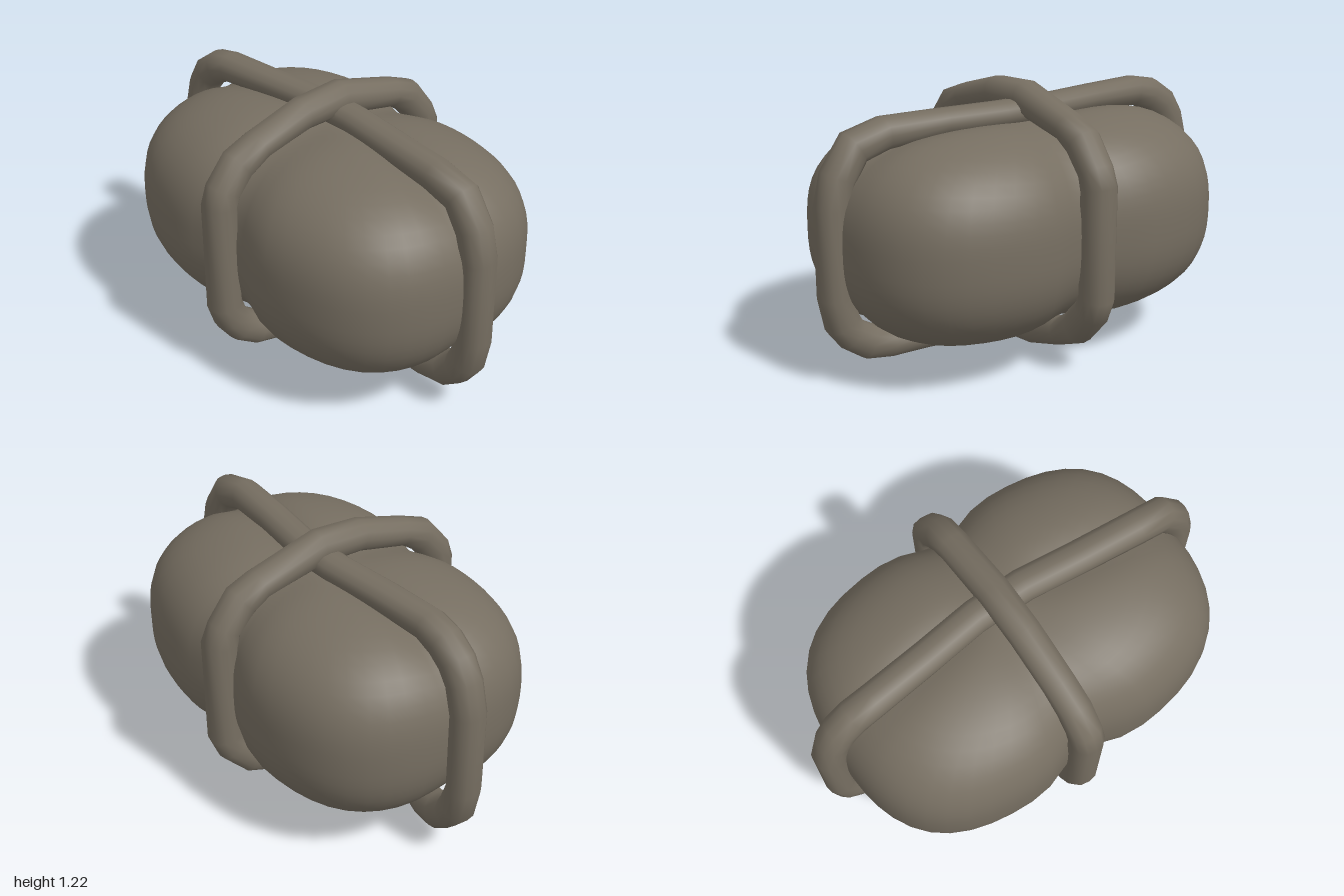
import * as THREE from 'three';
import { mergeVertices } from 'three/addons/utils/BufferGeometryUtils.js';

const bundleBrown = new THREE.MeshStandardMaterial({ color: 0x766e61 });
bundleBrown.name = 'bundleBrown';

const bump = (d, width) => Math.exp(-((d / width) ** 2));

// Sideways drift of the lengthwise rope: one bend on top, an S underneath.
const sway = (z, top) => top
  ? 0.06 * (1 - THREE.MathUtils.smoothstep(Math.abs(z), 0.05, 0.68))
  : 0.08 * (bump(z - 0.08, 0.27) - bump(z + 0.5, 0.17));

// Rounded block, squeezed where the two ropes press into it.
function bodyGeometry() {
  let geo = new THREE.SphereGeometry(1, 56, 36);
  geo.deleteAttribute('uv');
  geo.deleteAttribute('normal');
  geo = mergeVertices(geo, 1e-4);
  const p = geo.attributes.position;
  const v = new THREE.Vector3();
  const n = 2.62, blunt = 3.7;
  for (let i = 0; i < p.count; i++) {
    v.fromBufferAttribute(p, i);
    v.multiplyScalar((Math.abs(v.x) ** n + Math.abs(v.y) ** n + Math.abs(v.z) ** n) ** (-1 / n));
    // Blunter ends than the cross-section.
    const e = Math.min(Math.abs(v.z), 0.9999);
    const swell = ((1 - e ** blunt) / (1 - e ** n)) ** (1 / n);
    const z = v.z * (v.z > 0 ? 0.912 : 0.905);
    let x = v.x * swell * 0.626;
    let y = v.y * swell * 0.478;
    const waist = bump(z, 0.16);
    const groove = bump(x - sway(z, y > 0), 0.1);
    x *= 1 - 0.12 * waist;
    y *= 1 - 0.07 * waist - 0.08 * groove * (1 - waist);
    p.setXYZ(i, x, y + 0.613, z + 0.013);
  }
  geo.computeVertexNormals();
  return geo;
}

// Closed rope swept along a clockwise planar outline [u, v]; place(u, v, s) maps
// it into space, s being the distance across the rope. It thickens in the bends.
function ropeGeometry(outline, place, flip) {
  const sides = 12, half = 0.074;
  const pos = [], index = [], count = outline.length;
  outline.forEach(([u, v], i) => {
    const a = outline[(i + count - 1) % count], b = outline[(i + 1) % count];
    const t1 = new THREE.Vector2(u - a[0], v - a[1]).normalize();
    const t2 = new THREE.Vector2(b[0] - u, b[1] - v).normalize();
    const depth = 0.058 + 0.019 * Math.min(1, t1.angleTo(t2) / 0.4);
    const t = t1.add(t2).normalize();
    for (let j = 0; j < sides; j++) {
      const w = (j / sides) * Math.PI * 2;
      const c = Math.cos(w), s = Math.sin(w);
      const r = (Math.abs(c) ** 2.5 + Math.abs(s) ** 2.5) ** (-1 / 2.5);
      const out = depth * (c * r - 1);
      pos.push(...place(u - t.y * out, v + t.x * out, half * s * r));
      const i2 = (i + 1) % count, j2 = (j + 1) % sides;
      const q = [i * sides + j, i2 * sides + j, i2 * sides + j2, i * sides + j2];
      if (flip) q.reverse();
      index.push(q[0], q[1], q[2], q[0], q[2], q[3]);
    }
  });
  const geo = new THREE.BufferGeometry();
  geo.setAttribute('position', new THREE.Float32BufferAttribute(pos, 3));
  geo.setIndex(index);
  geo.computeVertexNormals();
  return geo;
}

export function createModel() {
  const group = new THREE.Group();
  group.name = 'tiedBundle';
  const add = (name, geo) => {
    const mesh = new THREE.Mesh(geo, bundleBrown);
    mesh.name = name;
    group.add(mesh);
  };

  add('bundleBody', bodyGeometry());

  // Rope around the waist, in the x-y plane.
  const waist = [
    [-0.15, 1.205], [0.08, 1.222], [0.4, 1.135], [0.52, 1.09], [0.62, 0.96], [0.66, 0.87],
    [0.655, 0.36], [0.615, 0.26], [0.5, 0.135], [0.37, 0.085], [0.16, 0.023], [-0.07, 0.003],
    [-0.45, 0.09], [-0.56, 0.16], [-0.625, 0.245], [-0.66, 0.35], [-0.665, 0.87],
    [-0.635, 0.96], [-0.535, 1.08], [-0.4, 1.13],
  ];
  add('waistRope', ropeGeometry(waist, (u, v, s) => [u, v, s - 0.007], true));

  // Rope along the length, in the z-y plane, bending aside where the ropes cross.
  const long = [
    [-0.68, 1.145], [-0.4, 1.145], [-0.12, 1.145], [0.12, 1.145], [0.4, 1.145], [0.68, 1.145],
    [0.86, 1.1], [0.965, 0.95], [1, 0.8], [1, 0.4], [0.97, 0.25], [0.91, 0.17], [0.81, 0.1],
    [0.68, 0.08], [0.5, 0.08], [0.3, 0.08], [0.1, 0.08], [-0.1, 0.08], [-0.3, 0.08],
    [-0.5, 0.08], [-0.68, 0.08],
    [-0.81, 0.1], [-0.9, 0.17], [-0.97, 0.25], [-1, 0.4], [-1, 0.8], [-0.96, 0.95],
    [-0.9, 1.05], [-0.8, 1.12],
  ];
  add('lengthwiseRope', ropeGeometry(long,
    (u, v, s) => [s + sway(u, v > 0.6), v, u], false));

  return group;
}
